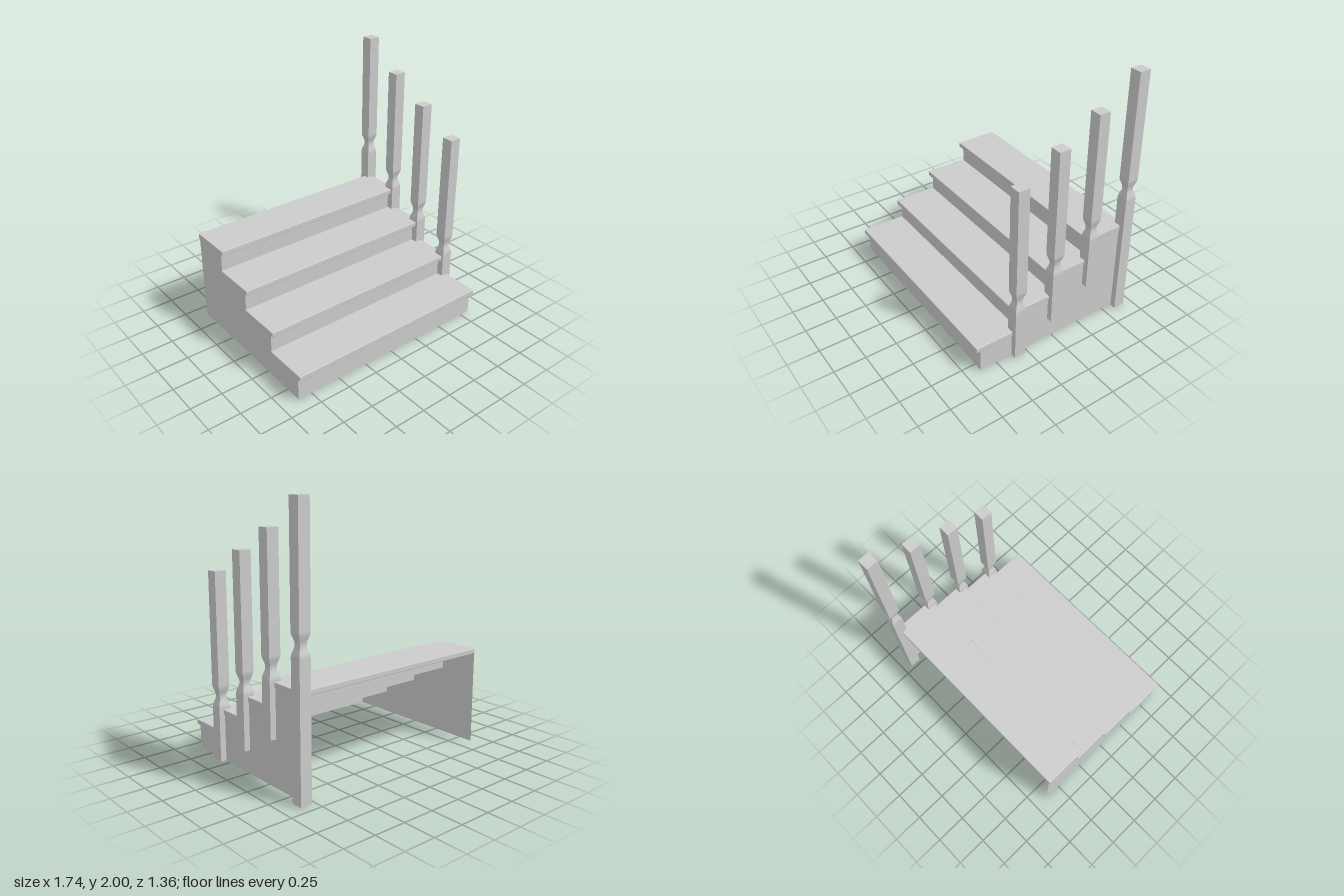
import * as THREE from 'three';
import { RoundedBoxGeometry } from 'three/addons/geometries/RoundedBoxGeometry.js';

const grey = new THREE.MeshStandardMaterial({ color: 0xcccccc, side: THREE.DoubleSide });

const LEFT = 0.825, RIGHT = -0.865, BACK = -0.635, BASE = 0.01;
const LIP = 0.035, TREAD = 0.04;
// front edge and top height of each step
const steps = [[0.675, 0.23], [0.352, 0.408], [0.032, 0.586], [-0.286, 0.765]];
// z, bottom, waist height, top of each post
const posts = [[0.325, BASE, 0.505, 1.43], [0.006, 0.19, 0.683, 1.61], [-0.312, 0.365, 0.86, 1.785], [-0.635, 0, 1.075, 2]];

function add(group, geometry, name) {
  const mesh = new THREE.Mesh(geometry, grey);
  mesh.name = name;
  group.add(mesh);
  return mesh;
}

// Square post with a curved waist
function postGeometry(bottom, waist, top, openBottom) {
  const width = 0.09, neck = 0.085, n = 16;
  const levels = [bottom];
  for (let i = 0; i <= n; i++) levels.push(waist + neck * (2 * i / n - 1));
  levels.push(top);
  const rows = levels.length - 1;
  const geo = new THREE.BoxGeometry(width, rows, width, 1, rows, 1);
  const p = geo.attributes.position;
  for (let i = 0; i < p.count; i++) {
    const y = levels[Math.round(p.getY(i) + rows / 2)];
    const t = Math.min(1, Math.abs(y - waist) / neck);
    const s = 1 - 0.2 * (1 + Math.cos(Math.PI * t));
    p.setXYZ(i, p.getX(i) * s, y, p.getZ(i) * s);
  }
  if (openBottom) {
    const { start, count } = geo.groups[3];
    const index = Array.from(geo.index.array);
    index.splice(start, count);
    geo.setIndex(index);
    geo.clearGroups();
  }
  geo.computeVertexNormals();
  return geo;
}

export function createModel() {
  const model = new THREE.Group();
  model.name = 'staircase';
  const width = LEFT - RIGHT, midX = (LEFT + RIGHT) / 2;

  // Treads and risers; the back and underside stay open
  const outline = [[BACK, BASE]];
  let floor = BASE;
  steps.forEach(([front, top], i) => {
    const riserZ = front - LIP;
    const back = i < 3 ? steps[i + 1][0] - LIP : BACK;
    const under = top - TREAD;
    const tread = add(model, new RoundedBoxGeometry(width + 0.016, TREAD, front - back, 2, 0.005), 'tread' + (i + 1));
    tread.position.set(midX, top - TREAD / 2, (front + back) / 2);
    const riser = add(model, new THREE.PlaneGeometry(width, under - floor), 'riser' + (i + 1));
    riser.position.set(midX, (under + floor) / 2, riserZ);
    outline.push([riserZ, floor], [riserZ, under]);
    floor = under;
  });
  outline.push([BACK, floor]);

  // Thin stepped side panels
  const shape = new THREE.Shape(outline.map(([z, y]) => new THREE.Vector2(z, y)));
  for (const [x, name] of [[LEFT, 'leftPanel'], [RIGHT, 'rightPanel']]) {
    const geo = new THREE.ShapeGeometry(shape).rotateY(-Math.PI / 2);
    add(model, geo, name).position.x = x;
  }

  // Railing posts along the left side
  posts.forEach(([z, bottom, waist, top], i) => {
    add(model, postGeometry(bottom, waist, top, i === 3), 'post' + (i + 1)).position.set(0.825, 0, z);
  });
  return model;
}
